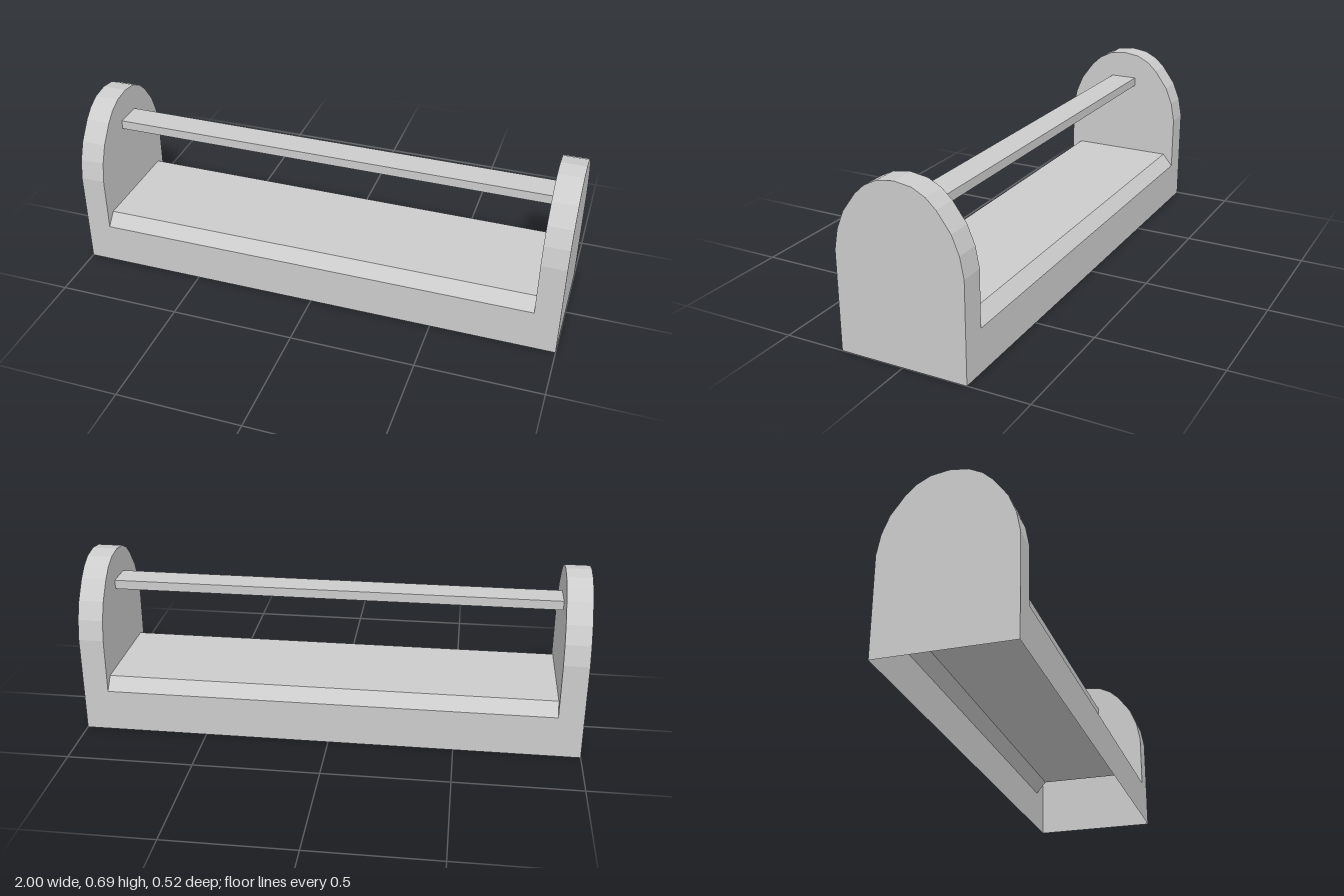
import * as THREE from 'three';

const OUTER = 1, INNER = 0.9, HALF_DEPTH = 0.258;

// Front half of the arch, from shoulder to just below the crown (z, y)
const ARCH = [[HALF_DEPTH, 0.395], [0.243, 0.475], [0.214, 0.546], [0.16, 0.62], [0.12, 0.657], [0.069, 0.683]];
// Front half of the tray section (z, y)
const TRAY = [[HALF_DEPTH, 0], [HALF_DEPTH, 0.171], [0.215, 0.222]];

const mirrorBack = (points) => points.map(([z, y]) => [-z, y]).reverse();

// Sweep an open (z, y) profile along x as flat facets
function sweep(profile, x0, x1) {
  const pos = [];
  for (let i = 0; i < profile.length - 1; i++) {
    const [z0, y0] = profile[i], [z1, y1] = profile[i + 1];
    pos.push(x0, y0, z0, x1, y0, z0, x1, y1, z1);
    pos.push(x0, y0, z0, x1, y1, z1, x0, y1, z1);
  }
  const geometry = new THREE.BufferGeometry();
  geometry.setAttribute('position', new THREE.Float32BufferAttribute(pos, 3));
  geometry.computeVertexNormals();
  return geometry;
}

// Flat face from a closed (z, y) outline, standing at x and facing dir
function face(outline, x, dir) {
  const shape = new THREE.Shape(outline.map(([z, y]) => new THREE.Vector2(-dir * z, y)));
  return new THREE.ShapeGeometry(shape).rotateY(dir * Math.PI / 2).translate(x, 0, 0);
}

export function createModel() {
  const group = new THREE.Group();
  const grey = new THREE.MeshStandardMaterial({ color: 0xcccccc, side: THREE.DoubleSide });
  grey.name = 'plain grey';

  const add = (parent, name, geometry) => {
    const mesh = new THREE.Mesh(geometry, grey);
    mesh.name = name;
    parent.add(mesh);
  };

  const arch = [...ARCH, [0, 0.693], ...mirrorBack(ARCH)];
  const tray = [...TRAY, ...mirrorBack(TRAY)];
  const endOutline = [[HALF_DEPTH, 0], ...arch, [-HALF_DEPTH, 0]];
  // The inner face stops at the tray, leaving the underside hollow
  const innerOutline = [...arch, ...tray.slice(1, -1).reverse()];

  // Arched ends
  for (const side of [1, -1]) {
    const end = new THREE.Group();
    end.name = side > 0 ? 'leftEnd' : 'rightEnd';
    add(end, 'outerFace', face(endOutline, side * OUTER, side));
    add(end, 'innerFace', face(innerOutline, side * INNER, -side));
    add(end, 'rim', sweep(endOutline, Math.min(side * OUTER, side * INNER), Math.max(side * OUTER, side * INNER)));
    group.add(end);
  }

  // Hollow tray with bevelled long edges, open below
  add(group, 'tray', sweep(tray, -INNER, INNER));

  // Carrying bar between the ends
  add(group, 'handleBar', new THREE.BoxGeometry(2 * INNER, 0.037, 0.114).translate(0, 0.558, 0));

  return group;
}
